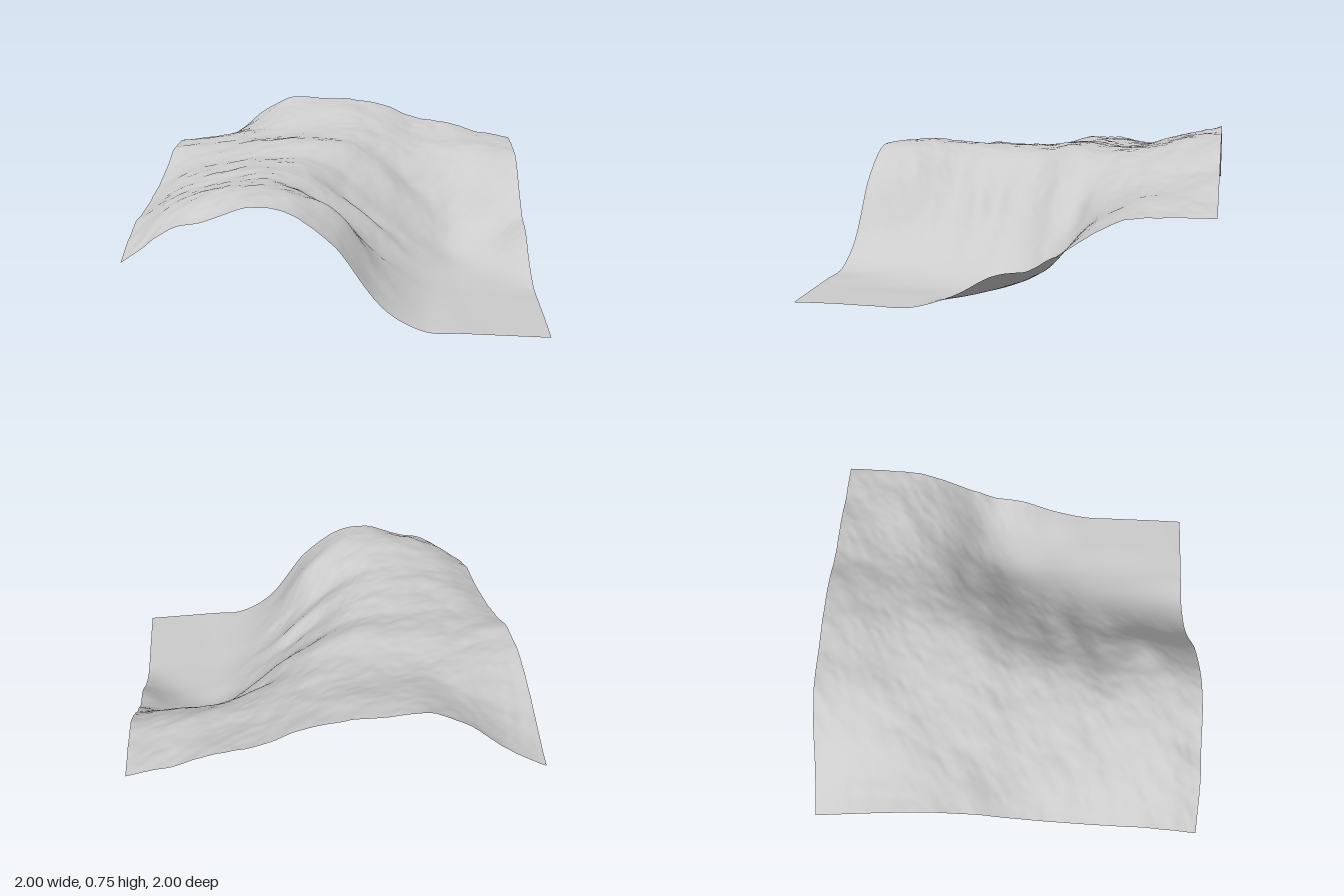
import * as THREE from 'three';

// Control heights: one row per 0.2 in z (back to front), one column per 0.2 in x (left to right).
const HEIGHTS = [
  [.38, .50, .67, .76, .755, .745, .70, .63, .60, .55, .51],
  [.46, .54, .63, .71, .72, .71, .66, .59, .56, .53, .51],
  [.54, .58, .62, .66, .67, .66, .61, .55, .52, .50, .48],
  [.60, .61, .63, .64, .65, .63, .56, .47, .41, .39, .37],
  [.605, .61, .635, .65, .66, .61, .49, .32, .19, .18, .25],
  [.56, .59, .61, .615, .60, .52, .36, .19, .07, .09, .20],
  [.50, .57, .60, .61, .58, .47, .30, .14, .04, .03, .09],
  [.47, .56, .60, .615, .58, .45, .24, .09, .02, .015, .02],
  [.45, .55, .60, .625, .59, .46, .22, .07, .015, .015, .015],
  [.43, .54, .61, .64, .61, .47, .20, .05, .015, .015, .015],
  [.35, .49, .55, .61, .59, .43, .16, .03, .02, .015, .01],
];

// Spurs (positive) and gullies (negative) on the steep slope: x, z, half-length, half-width, height
const SPURS = [
  [.12, .20, .20, .06, -.03],
  [.12, .31, .18, .05, .02],
  [-.08, .48, .22, .08, -.04],
  [.02, .72, .16, .10, .04],
  [.36, -.29, .15, .06, -.03],
  [.30, -.14, .18, .05, .015],
];

// Catmull-Rom through four values
function cubic(a, b, c, d, t) {
  return b + 0.5 * t * (c - a + t * (2 * a - 5 * b + 4 * c - d + t * (3 * (b - c) + d - a)));
}

// Interpolates a list of n values (given by get) at position p, extended linearly past its ends
function sample(get, n, p) {
  const i = Math.min(Math.floor(p), n - 2);
  const at = (k) => (k < 0 ? 2 * get(0) - get(1) : k >= n ? 2 * get(n - 1) - get(n - 2) : get(k));
  return cubic(at(i - 1), at(i), at(i + 1), at(i + 2), p - i);
}

function broadHeight(x, z) {
  const u = (x + 1) * 5, v = (z + 1) * 5;
  let height = sample((r) => sample((c) => HEIGHTS[r][c], 11, u), 11, v);
  for (const [sx, sz, rx, rz, h] of SPURS) {
    height += h * Math.exp(-(((x - sx) / rx) ** 2) - ((z - sz) / rz) ** 2);
  }
  return height;
}

// Repeatable value noise
function hash(i, j) {
  const s = Math.sin(i * 127.1 + j * 311.7) * 43758.5453;
  return s - Math.floor(s);
}

function noise(x, z) {
  const i = Math.floor(x), j = Math.floor(z);
  const fade = (t) => t * t * (3 - 2 * t);
  const u = fade(x - i), v = fade(z - j);
  const back = THREE.MathUtils.lerp(hash(i, j), hash(i + 1, j), u);
  const front = THREE.MathUtils.lerp(hash(i, j + 1), hash(i + 1, j + 1), u);
  return THREE.MathUtils.lerp(back, front, v) * 2 - 1;
}

// Eroded detail: creases stretched across the hill, fading out on the basin floor
function erosion(x, z, height) {
  const along = x * 0.85 - z * 0.5, across = x * 0.5 + z * 0.85;
  let sum = 0, amplitude = 0.012;
  for (let f = 5; f < 45; f *= 2) {
    sum += amplitude * noise(along * f * 0.6 + 17, across * f + 31);
    amplitude *= 0.55;
  }
  return sum * THREE.MathUtils.smoothstep(height, 0.01, 0.25);
}

export function createModel() {
  const group = new THREE.Group();
  group.name = 'terrain';

  const geometry = new THREE.PlaneGeometry(2, 2, 150, 150).rotateX(-Math.PI / 2);
  const position = geometry.attributes.position;
  for (let i = 0; i < position.count; i++) {
    const x = position.getX(i), z = position.getZ(i);
    const height = broadHeight(x, z);
    position.setY(i, Math.max(0.005, height + erosion(x, z, height)));
  }
  geometry.computeBoundingBox();
  geometry.translate(0, -geometry.boundingBox.min.y, 0);
  geometry.computeVertexNormals();

  const material = new THREE.MeshStandardMaterial({ color: 0xcccccc, side: THREE.DoubleSide });
  const ground = new THREE.Mesh(geometry, material);
  ground.name = 'hillside';
  group.add(ground);
  return group;
}
